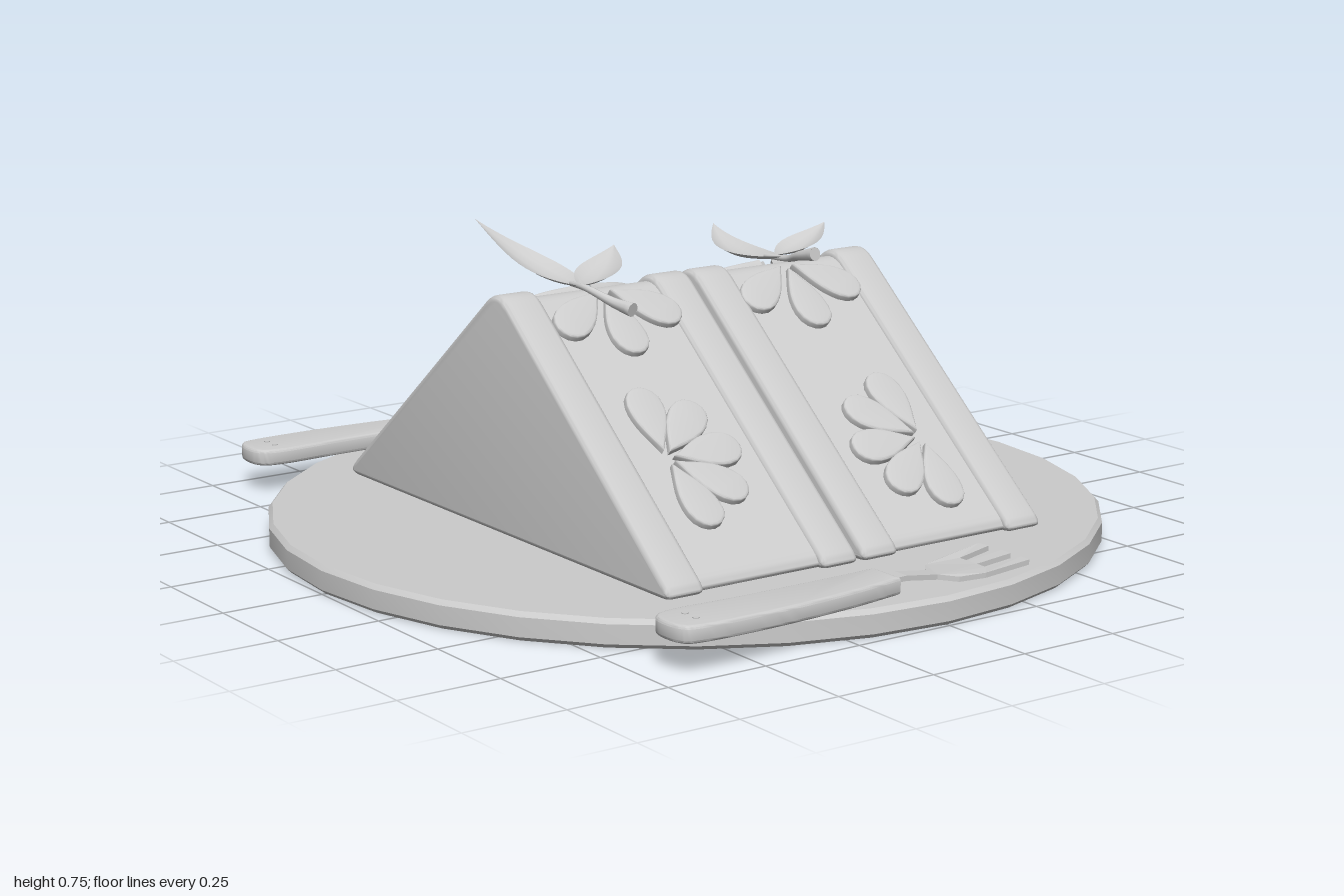
import * as THREE from 'three';
import { toCreasedNormals } from 'three/addons/utils/BufferGeometryUtils.js';

const grey = new THREE.MeshStandardMaterial({ color: 0xcccccc });
const thin = new THREE.MeshStandardMaterial({ color: 0xcccccc, side: THREE.DoubleSide });
const V = (p) => new THREE.Vector3(...p);

function add(parent, name, geometry, material = grey) {
  const mesh = new THREE.Mesh(geometry, material);
  mesh.name = name;
  parent.add(mesh);
  return mesh;
}

// Extrusion whose bevel stays inside the outline
function solid(shape, depth, bevel) {
  const geo = new THREE.ExtrudeGeometry(shape, {
    depth: depth - 2 * bevel, bevelEnabled: bevel > 0, bevelThickness: bevel,
    bevelSize: bevel, bevelOffset: -bevel, bevelSegments: 3, curveSegments: 8,
  });
  geo.translate(0, 0, bevel);
  return toCreasedNormals(geo, 0.7);
}

// Outline of a sandwich half: triangle with rounded corners
const SLOPE = 0.82, APEX = 0.65, BASE = 0.066;
function triangle(inset) {
  const top = APEX - inset * 1.29, w = (top - BASE) / SLOPE;
  const r = 0.05, s = new THREE.Shape();
  s.moveTo(-w + 0.06, BASE);
  s.lineTo(w - 0.06, BASE);
  s.quadraticCurveTo(w, BASE, w - r, BASE + r * SLOPE);
  s.lineTo(r, top - r * SLOPE);
  s.quadraticCurveTo(0, top, -r, top - r * SLOPE);
  s.lineTo(-w + r, BASE + r * SLOPE);
  s.quadraticCurveTo(-w, BASE, -w + 0.06, BASE);
  return s;
}

// Flat-lying part from an [x, z] outline
function flat(points, y, depth, bevel, smooth) {
  const pts = points.map(([x, z]) => new THREE.Vector2(x, -z));
  const s = new THREE.Shape();
  s.moveTo(pts[0].x, pts[0].y);
  if (smooth) s.splineThru(pts.slice(1));
  else pts.slice(1).forEach((p) => s.lineTo(p.x, p.y));
  return solid(s, depth, bevel).rotateX(-Math.PI / 2).translate(0, y, 0);
}

// Fan of petals lying on a slope; dirZ 0 points it downhill
function petalFan(side, x, z, dirZ, angles) {
  const s = new THREE.Shape();
  s.moveTo(0.02, 0);
  s.bezierCurveTo(0.07, -0.025, 0.1, -0.047, 0.15, -0.047);
  s.bezierCurveTo(0.22, -0.045, 0.22, 0.045, 0.15, 0.047);
  s.bezierCurveTo(0.1, 0.047, 0.07, 0.025, 0.02, 0);
  const geo = solid(s, 0.035, 0.006);
  const fan = new THREE.Group();
  fan.name = 'petalFan';
  for (const a of angles) {
    add(fan, 'petal', geo).rotation.z = THREE.MathUtils.degToRad(a - side * dirZ * 90);
  }
  const k = Math.hypot(1, SLOPE);
  const down = new THREE.Vector3(side / k, -SLOPE / k, 0);
  const out = new THREE.Vector3((side * SLOPE) / k, 1 / k, 0);
  fan.quaternion.setFromRotationMatrix(
    new THREE.Matrix4().makeBasis(down, new THREE.Vector3(0, 0, -side), out));
  fan.position.set(side * x, APEX - 0.015 - SLOPE * x, z).addScaledVector(out, -0.018);
  return fan;
}

// Cupped leaf along a curve
function leaf(base, mid, tip, width) {
  const curve = new THREE.QuadraticBezierCurve3(V(base), V(mid), V(tip));
  const N = 14, M = 4, pos = [], idx = [];
  for (let i = 0; i <= N; i++) {
    const t = i / N, p = curve.getPoint(t), d = curve.getTangent(t);
    const across = new THREE.Vector3(-d.z, 0, d.x).normalize();
    const w = 0.5 * width * Math.sin(Math.PI * Math.pow(t, 0.85)) + 0.005 * (1 - t);
    for (let j = 0; j <= M; j++) {
      const u = (j / M) * 2 - 1;
      pos.push(p.x + across.x * w * u, p.y + 0.35 * w * u * u, p.z + across.z * w * u);
      if (i < N && j < M) {
        const a = i * (M + 1) + j, b = a + M + 1;
        idx.push(a, a + 1, b, b, a + 1, b + 1);
      }
    }
  }
  const geo = new THREE.BufferGeometry();
  geo.setAttribute('position', new THREE.Float32BufferAttribute(pos, 3));
  geo.setIndex(idx);
  geo.computeVertexNormals();
  return geo;
}

// Stem that thickens toward its cut end
function stem(parent, points) {
  const curve = new THREE.CatmullRomCurve3(points.map(V));
  const N = 14, R = 10, geo = new THREE.TubeGeometry(curve, N, 0.008, R);
  const pos = geo.attributes.position, v = new THREE.Vector3();
  for (let i = 0; i < pos.count; i++) {
    const t = Math.floor(i / (R + 1)) / N, c = curve.getPointAt(t);
    v.fromBufferAttribute(pos, i).sub(c).multiplyScalar(0.8 + 1.3 * t * t).add(c);
    pos.setXYZ(i, v.x, v.y, v.z);
  }
  geo.computeVertexNormals();
  add(parent, 'stem', geo, thin);
  const cap = add(parent, 'stemEnd', new THREE.CircleGeometry(0.0168, R), thin);
  cap.position.copy(curve.getPointAt(1));
  cap.lookAt(cap.position.clone().add(curve.getTangentAt(1)));
}

export function createModel() {
  const model = new THREE.Group();

  // Plate with a slightly bevelled rim
  const rim = [[0, 0], [0.99, 0], [1, 0.01], [1, 0.055], [0.99, 0.066], [0, 0.066]];
  const plate = new THREE.LatheGeometry(rim.map(([x, y]) => new THREE.Vector2(x, y)), 32);
  add(model, 'plate', toCreasedNormals(plate, 0.4));

  // Two sandwich halves: bread, filling, bread
  const halves = [[0.005, 0.53], [-0.535, -0.01]];
  for (const [back, front] of halves) {
    const half = new THREE.Group();
    half.name = 'sandwichHalf';
    for (const z of [back, front - 0.1]) {
      add(half, 'breadSlice', solid(triangle(0), 0.1, 0.014).translate(0, 0, z));
    }
    const depth = front - back - 0.16;
    add(half, 'filling', solid(triangle(0.012), depth, 0).translate(0, 0, back + 0.08));
    model.add(half);
  }

  // Petal fans on the fillings: side, distance from ridge, z, direction
  const wide = [-82, -41, 0, 41, 82], narrow = [-55, 0, 55];
  const fans = [
    [1, 0.41, 0.345, -1, wide], [-1, 0.39, 0.155, 1, wide],
    [1, 0.46, -0.35, 1, wide], [-1, 0.45, -0.18, -1, wide],
    [1, 0.025, 0.26, 0, narrow], [-1, 0.025, 0.26, 0, narrow],
    [1, 0.025, -0.27, 0, narrow], [-1, 0.025, -0.27, 0, narrow],
  ];
  fans.forEach((f) => model.add(petalFan(...f)));

  // Herb sprigs on the ridges
  const frontSprig = new THREE.Group(), backSprig = new THREE.Group();
  frontSprig.name = 'frontSprig';
  backSprig.name = 'backSprig';
  add(frontSprig, 'largeLeaf', leaf([0.03, 0.63, 0.31], [-0.15, 0.61, 0.32], [-0.28, 0.755, 0.41], 0.1), thin);
  add(frontSprig, 'smallLeaf', leaf([0.02, 0.63, 0.31], [-0.02, 0.62, 0.22], [-0.1, 0.69, 0.135], 0.1), thin);
  stem(frontSprig, [[-0.02, 0.63, 0.31], [0.06, 0.63, 0.315], [0.12, 0.605, 0.285], [0.175, 0.595, 0.27]]);
  add(backSprig, 'largeLeaf', leaf([0.03, 0.635, -0.27], [-0.13, 0.59, -0.22], [-0.28, 0.67, -0.285], 0.09), thin);
  add(backSprig, 'smallLeaf', leaf([0.0, 0.635, -0.27], [-0.01, 0.625, -0.36], [-0.05, 0.69, -0.455], 0.09), thin);
  stem(backSprig, [[-0.03, 0.63, -0.26], [0.05, 0.635, -0.27], [0.1, 0.65, -0.265], [0.155, 0.662, -0.27]]);
  model.add(frontSprig, backSprig);

  // Cutlery handles, mirrored, each with two rivets
  const grip = [[0.845, 0.09], [0.848, 0.25], [0.848, 0.45], [0.842, 0.63], [0.868, 0.69],
    [0.95, 0.69], [0.978, 0.64], [0.98, 0.45], [0.965, 0.25], [0.94, 0.09]];
  const knife = new THREE.Group(), fork = new THREE.Group();
  knife.name = 'knife';
  fork.name = 'fork';
  for (const [side, tool] of [[-1, knife], [1, fork]]) {
    const outline = grip.map(([x, z]) => [side * x, z]);
    add(tool, 'handle', flat(outline, 0.07, 0.041, 0.008, true));
    for (const x of [0.89, 0.93]) {
      const rivet = add(tool, 'rivet', new THREE.CylinderGeometry(0.007, 0.007, 0.004, 12));
      rivet.position.set(side * x, 0.111, 0.63);
    }
  }

  // Knife blade
  add(knife, 'blade', flat([[-0.86, -0.525], [-0.835, -0.49], [-0.805, -0.43], [-0.782, -0.36],
    [-0.768, -0.27], [-0.762, -0.15], [-0.768, 0.06], [-0.86, 0.055], [-0.86, 0.12], [-0.93, 0.12],
    [-0.94, 0.05], [-0.945, -0.03], [-0.925, -0.2], [-0.89, -0.4]], 0.088, 0.01, 0));

  // Fork head, dipping from neck to tines
  const head = flat([[0.915, 0.12], [0.87, 0.12], [0.87, 0.05], [0.865, -0.04], [0.815, -0.08],
    [0.79, -0.15], [0.768, -0.275], [0.798, -0.28], [0.816, -0.18], [0.848, -0.18],
    [0.842, -0.28], [0.874, -0.28], [0.876, -0.18], [0.908, -0.18], [0.908, -0.28],
    [0.938, -0.28], [0.942, -0.15], [0.935, -0.08], [0.908, -0.04], [0.912, 0.05]], 0, 0.012, 0);
  const p = head.attributes.position;
  for (let i = 0; i < p.count; i++) {
    const z = p.getZ(i);
    const lift = 0.02 * THREE.MathUtils.smoothstep(z, -0.1, 0.06);
    const tips = 0.008 * THREE.MathUtils.smoothstep(-z, 0.18, 0.28);
    p.setY(i, p.getY(i) + 0.069 + lift + tips);
  }
  head.computeVertexNormals();
  add(fork, 'forkHead', head);
  model.add(knife, fork);

  return model;
}
